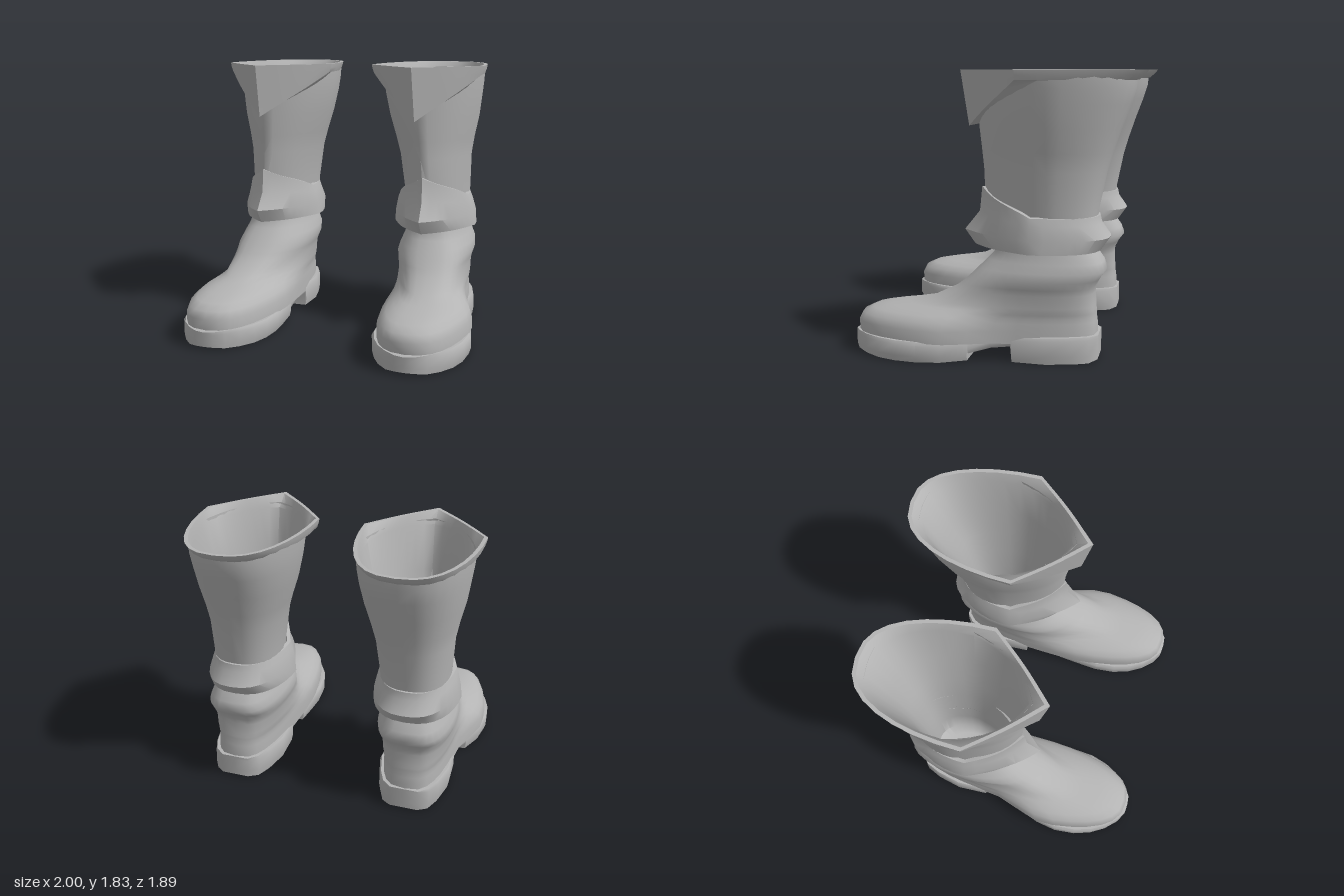
import * as THREE from 'three';
import { toCreasedNormals } from 'three/addons/utils/BufferGeometryUtils.js';

const N = 32;
const leather = new THREE.MeshStandardMaterial({ color: 0xb4b4b4, side: THREE.DoubleSide });
leather.name = 'grey leather';

// Skin a list of closed sections; the left boot is mirrored and leans slightly inward.
function loft(sections, left, crease = 0.8) {
  const n = sections[0].length, pos = [], idx = [];
  for (const s of sections)
    for (const [x, y, z] of s) pos.push(left ? -x - 0.03 * y : x, y, z);
  for (let i = 0; i < sections.length - 1; i++)
    for (let j = 0; j < n; j++) {
      const k = (j + 1) % n;
      const a = i * n + j, b = i * n + k, c = a + n, d = b + n;
      if (left) idx.push(a, d, b, a, c, d);
      else idx.push(a, b, d, a, d, c);
    }
  const g = new THREE.BufferGeometry();
  g.setAttribute('position', new THREE.Float32BufferAttribute(pos, 3));
  g.setIndex(idx);
  return toCreasedNormals(g, crease);
}

// Horizontal ring with an elliptical back and a front that can come to a point.
// rise lifts (or drops) the front of the ring; wF is the half-width near the toe.
function ring({ y, zB, zF, w, wF = w, cx = -0.6, cxF = cx, zc = (zB + zF) / 2, p = 0, q = 1, rise = 0 }) {
  const out = [];
  for (let j = 0; j < N; j++) {
    const t = (j / N) * Math.PI * 2;
    let s = Math.sin(t), c = Math.cos(t);
    const sum = Math.abs(s) + Math.abs(c), dc = c / sum;
    const tip = Math.max(0, dc);
    s = Math.sign(s) * Math.pow(Math.abs(s), c < 0 ? q * 0.8 : q);
    if (c > 0) {
      s += (Math.sin(t) / sum - s) * p;
      c += (dc - c) * p;
    }
    const z = zc + c * (c > 0 ? zF - zc : zc - zB);
    const k = THREE.MathUtils.smoothstep(z, -0.1, 0.4);
    out.push([cx + (cxF - cx) * k + s * (w + (wF - w) * k), y + rise * tip, z]);
  }
  return out;
}

const rings = (rows, common) =>
  rows.map(([y, zB, zF, w, extra]) => ring({ y, zB, zF, w, ...common, ...extra }));

// Foot upper: heel, vamp and ankle folds
const footRings = () => rings([
  [0.12, -0.66, 0.92, 0.25, { wF: 0.32 }],
  [0.20, -0.66, 0.925, 0.25, { wF: 0.318 }],
  [0.25, -0.655, 0.90, 0.248, { wF: 0.30 }],
  [0.282, -0.65, 0.83, 0.245, { wF: 0.265 }],
  [0.305, -0.65, 0.71, 0.245, { wF: 0.235 }],
  [0.325, -0.648, 0.58, 0.245, { wF: 0.215 }],
  [0.35, -0.645, 0.44, 0.243, { wF: 0.2 }],
  [0.43, -0.64, 0.27, 0.242],
  [0.47, -0.645, 0.22, 0.25],
  [0.52, -0.67, 0.165, 0.265],
  [0.575, -0.71, 0.11, 0.255],
  [0.63, -0.69, 0.055, 0.232],
  [0.68, -0.655, 0.01, 0.215],
  [0.74, -0.62, 0.0, 0.20],
], { cx: -0.62, cxF: -0.68, q: 0.75 });

// Sole stations, heel to toe: z, half-width, bottom, top
const soleSections = () => [
  [-0.67, 0, 0.01, 0.16], [-0.67, 0.1, 0.01, 0.165], [-0.62, 0.165, 0, 0.168],
  [-0.52, 0.21, 0, 0.17], [-0.35, 0.25, 0, 0.168], [-0.14, 0.242, 0, 0.158],
  [-0.13, 0.24, 0.1, 0.155], [0, 0.225, 0.08, 0.145], [0.135, 0.255, 0.05, 0.135],
  [0.14, 0.257, 0.005, 0.135], [0.3, 0.3, 0, 0.13], [0.45, 0.32, 0, 0.13],
  [0.6, 0.307, 0, 0.13], [0.72, 0.268, 0, 0.13], [0.82, 0.21, 0.005, 0.13],
  [0.9, 0.135, 0.01, 0.13], [0.94, 0.065, 0.02, 0.125], [0.945, 0, 0.02, 0.12],
].map(([z, w, b, t]) => {
  const cx = -0.62 - 0.06 * THREE.MathUtils.smoothstep(z, -0.1, 0.4);
  const m = b + (t - b) * 0.3;
  return [[-0.96, b], [0.96, b], [1, m], [1, t - 0.02], [0.95, t],
    [-0.95, t], [-1, t - 0.02], [-1, m]].map(([k, y]) => [cx + k * w, y, z]);
});

// Flaring shaft
const shaftRings = () => rings([
  [0.70, -0.63, 0.03, 0.21],
  [0.95, -0.65, 0.09, 0.237, { cx: -0.605 }],
  [1.20, -0.70, 0.105, 0.257, { cx: -0.595 }],
  [1.32, -0.735, 0.12, 0.283, { cx: -0.59 }],
  [1.47, -0.785, 0.14, 0.322, { cx: -0.585 }],
  [1.62, -0.84, 0.15, 0.347, { cx: -0.58 }],
  [1.72, -0.87, 0.16, 0.36, { cx: -0.58 }],
  [1.79, -0.875, 0.165, 0.365, { cx: -0.58 }],
], { zc: -0.35, p: 0.35 });

// Ankle band with a peaked, pointed front
const bandRings = () => rings([
  [0.70, -0.61, 0.02, 0.20],
  [0.70, -0.67, 0.16, 0.295],
  [0.785, -0.73, 0.23, 0.287, { rise: 0.01 }],
  [0.87, -0.67, 0.13, 0.268, { rise: 0.05 }],
  [0.92, -0.66, 0.115, 0.25, { rise: 0.16 }],
  [0.925, -0.63, 0.06, 0.225, { rise: 0.155 }],
], { zc: -0.25, p: 0.6, cx: -0.605 });

// Turned-over cuff with a hanging V flap in front
const cuffRings = () => rings([
  [1.765, -0.86, 0.14, 0.35, { p: 0.5, rise: -0.28, zc: -0.3 }],
  [1.77, -0.885, 0.21, 0.385, { rise: -0.3 }],
  [1.80, -0.92, 0.24, 0.395, { rise: -0.15 }],
  [1.83, -0.945, 0.27, 0.4],
  [1.83, -0.92, 0.235, 0.375],
], { zc: -0.17, p: 0.9, cx: -0.58 });

// Inside of the boot, from the rim down to the insole
const liningRings = () => rings([
  [1.83, -0.92, 0.235, 0.375, { cx: -0.58, zc: -0.17, p: 0.9 }],
  [1.76, -0.85, 0.14, 0.34, { cx: -0.58 }],
  [1.45, -0.75, 0.11, 0.29, { cx: -0.585 }],
  [1.20, -0.67, 0.08, 0.235],
  [0.95, -0.63, 0.06, 0.215],
  [0.72, -0.60, 0.0, 0.19],
  [0.50, -0.58, 0.0, 0.19],
  [0.26, -0.57, 0.0, 0.19],
  [0.22, -0.50, -0.06, 0.14],
  [0.22, -0.281, -0.279, 0.001, { zc: -0.28 }],
], { zc: -0.3, p: 0.35 });

function boot(left) {
  const g = new THREE.Group();
  g.name = left ? 'leftBoot' : 'rightBoot';
  const parts = {
    sole: [soleSections(), 0.7],
    foot: [footRings(), 1.2],
    shaft: [shaftRings(), 1.2],
    ankleBand: [bandRings(), 0.65],
    cuff: [cuffRings(), 0.6],
    lining: [liningRings(), 1.0],
  };
  for (const [name, [sections, crease]] of Object.entries(parts)) {
    const mesh = new THREE.Mesh(loft(sections, left, crease), leather);
    mesh.name = name;
    g.add(mesh);
  }
  return g;
}

export function createModel() {
  const model = new THREE.Group();
  model.name = 'boots';
  model.add(boot(false), boot(true));
  return model;
}
